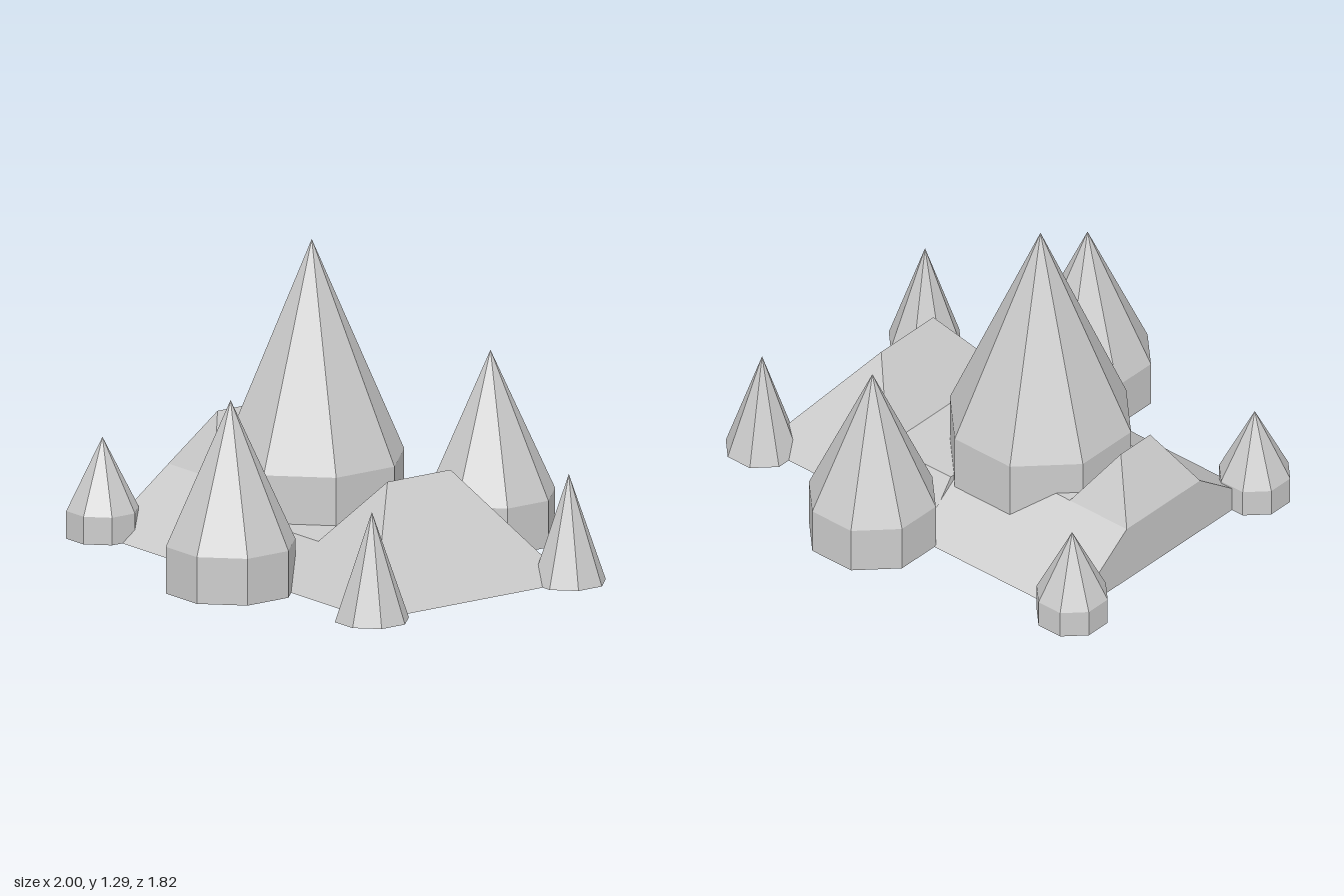
import * as THREE from 'three';

const material = new THREE.MeshStandardMaterial({ color: 0xcccccc, flatShading: true });

// Octagonal spire with flats facing the axes; wallHeight 0 gives a plain cone.
function spire(name, x, z, apothem, wallHeight, apexHeight) {
  const r = apothem / Math.cos(Math.PI / 8);
  const profile = [[0, 0], [r, 0]];
  if (wallHeight > 0) profile.push([r, wallHeight]);
  profile.push([0, apexHeight]);
  const geometry = new THREE.LatheGeometry(
    profile.map(([px, py]) => new THREE.Vector2(px, py)), 8, Math.PI / 8);
  const mesh = new THREE.Mesh(geometry, material);
  mesh.name = name;
  mesh.position.set(x, 0, z);
  return mesh;
}

// Solid lofted along x through trapezoids: [x, half width at base, half width at top, height].
function roof(name, y, stations) {
  const sections = stations.map(([x, base, top, h]) =>
    [[-base, 0], [-top, h], [top, h], [base, 0]].map(([z, py]) => [x, y + py, z]));
  const positions = [];
  const quad = (a, b, c, d) => positions.push(...a, ...b, ...c, ...a, ...c, ...d);
  for (let i = 0; i < sections.length - 1; i++) {
    const s = sections[i], t = sections[i + 1];
    for (let j = 0; j < 4; j++) {
      const k = (j + 1) % 4;
      quad(s[j], s[k], t[k], t[j]);
    }
  }
  // end walls
  const first = sections[0], last = sections[sections.length - 1];
  if (stations[0][3] > 0) quad(...[...first].reverse());
  if (stations[stations.length - 1][3] > 0) quad(...last);
  const geometry = new THREE.BufferGeometry();
  geometry.setAttribute('position', new THREE.Float32BufferAttribute(positions, 3));
  geometry.computeVertexNormals();
  const mesh = new THREE.Mesh(geometry, material);
  mesh.name = name;
  return mesh;
}

export function createModel() {
  const group = new THREE.Group();
  group.name = 'spiredHall';

  // sloped body with a flat top and a small hipped ridge at its outer end
  group.add(roof('rightBody', 0, [[-0.86, 0.565, 0.225, 0.25], [-0.03, 0.565, 0.225, 0.25]]));
  group.add(roof('rightHipRoof', 0.25, [
    [-0.86, 0.225, 0.225, 0], [-0.71, 0.225, 0.09, 0.23], [-0.555, 0.225, 0.225, 0],
  ]));

  // low flat roof rising to a ridge, then hipped down to the ground
  group.add(roof('leftHipRoof', 0, [
    [-0.03, 0.5, 0.356, 0.19], [0.31, 0.5, 0.356, 0.19],
    [0.515, 0.5, 0.16, 0.45], [0.87, 0.5, 0.5, 0],
  ]));

  // spires
  group.add(spire('mainSpire', -0.2, 0, 0.357, 0.39, 1.29));
  for (const [side, s] of [['front', 1], ['back', -1]]) {
    group.add(spire(side + 'Spire', 0.125, s * 0.66, 0.25, 0.195, 0.79));
    group.add(spire(side + 'RightCornerSpire', -0.86, s * 0.56, 0.14, 0.115, 0.415));
    group.add(spire(side + 'LeftCornerSpire', 0.857, s * 0.5, 0.143, 0, 0.45));
  }
  return group;
}
